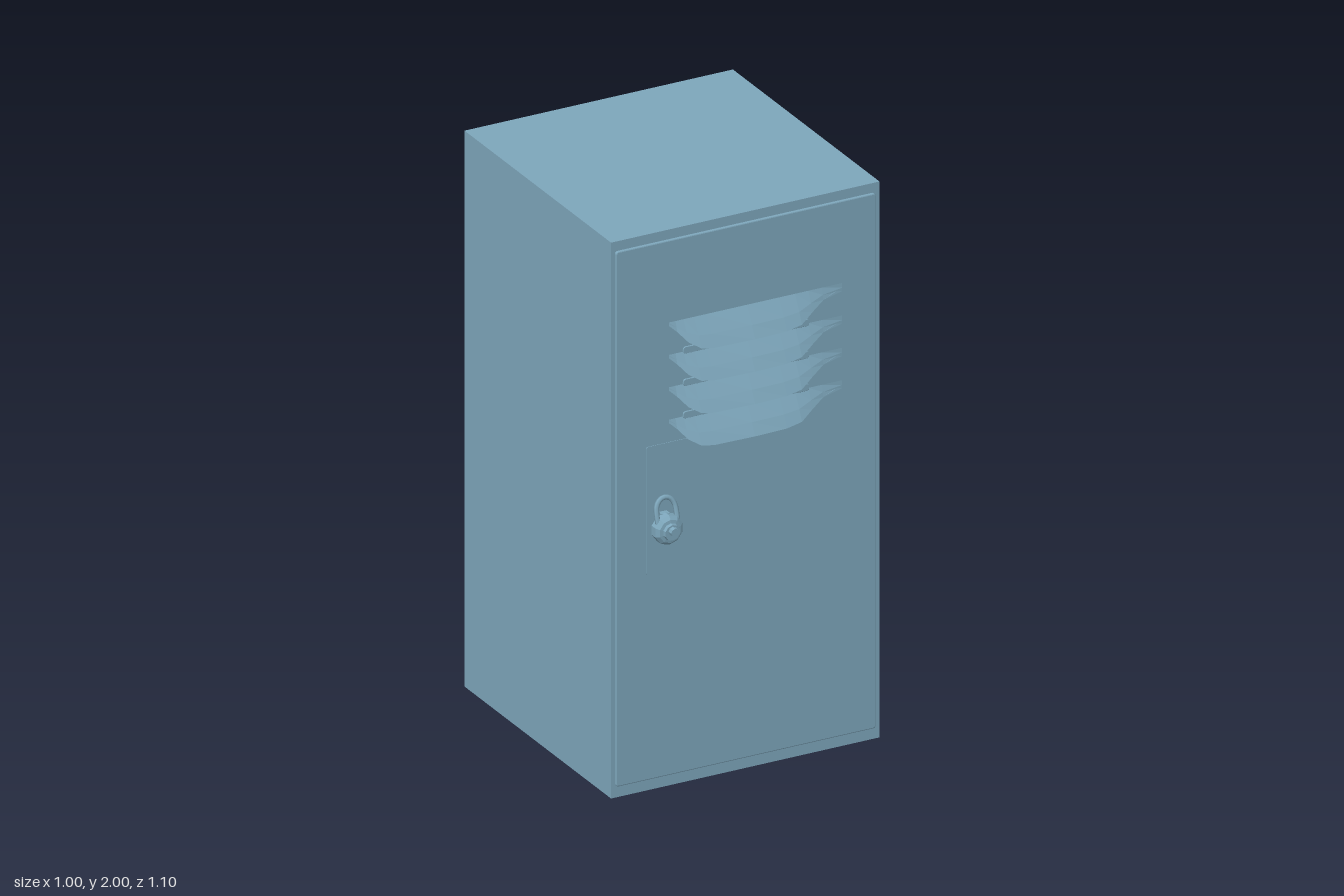
import * as THREE from 'three';

const paint = new THREE.MeshStandardMaterial({ color: 0x7da6bb });
paint.name = 'blueGreyPaint';
const sheet = paint.clone();
sheet.side = THREE.DoubleSide;
const metal = paint.clone();
metal.flatShading = true;

function add(parent, name, geometry, material, x = 0, y = 0, z = 0) {
  const mesh = new THREE.Mesh(geometry, material);
  mesh.name = name;
  mesh.position.set(x, y, z);
  parent.add(mesh);
  return mesh;
}

// Rounded rectangle centred on the origin
function roundedRect(w, h, r) {
  const s = new THREE.Shape();
  s.absarc(w / 2 - r, h / 2 - r, r, 0, Math.PI / 2);
  s.absarc(-w / 2 + r, h / 2 - r, r, Math.PI / 2, Math.PI);
  s.absarc(-w / 2 + r, -h / 2 + r, r, Math.PI, Math.PI * 1.5);
  s.absarc(w / 2 - r, -h / 2 + r, r, Math.PI * 1.5, Math.PI * 2);
  return s;
}

// Slab with a small bevel on its edges; overall size w x h x depth
function slab(w, h, r, depth, bevel) {
  const g = new THREE.ExtrudeGeometry(roundedRect(w - 2 * bevel, h - 2 * bevel, r), {
    depth: depth - bevel, bevelEnabled: true, bevelThickness: bevel,
    bevelSize: bevel, bevelSegments: 2, curveSegments: 3,
  });
  return g;
}

// Pressed hood: sections across x, each running from door to lip and back under
function louvreGeometry() {
  // x, lip height, lip projection from the door
  const stations = [
    [-0.29, 0.088, 0.002], [-0.265, 0.065, 0.012], [-0.235, 0.03, 0.034],
    [-0.195, 0.006, 0.05], [-0.15, 0, 0.055], [0, 0, 0.059],
    [0.12, 0, 0.055], [0.18, 0.008, 0.048], [0.23, 0.034, 0.028],
    [0.28, 0.06, 0.011], [0.355, 0.072, 0.002],
  ];
  const pos = [], index = [];
  const quad = (a, b, c, d) => index.push(a, b, c, a, c, d);
  const n = 4;
  stations.forEach(([x, y, z]) => {
    const top = Math.max(0.1, y + 0.005);
    pos.push(x, top, 0);
    pos.push(x, y + (top - y) * 0.42, z * 0.62);
    pos.push(x, y, z);
    pos.push(x, y + (top - y) * 0.45, 0);
  });
  for (let i = 0; i < stations.length - 1; i++) {
    for (let j = 0; j < n - 1; j++) {
      const a = i * n + j;
      quad(a, a + 1, a + n + 1, a + n);
    }
  }
  const g = new THREE.BufferGeometry();
  g.setAttribute('position', new THREE.Float32BufferAttribute(pos, 3));
  g.setIndex(index);
  // Separate outer skin and underside so the lip stays crisp
  const flat = g.toNonIndexed();
  flat.computeVertexNormals();
  return flat;
}

function createPadlock() {
  const lock = new THREE.Group();
  lock.name = 'padlock';

  // Faceted body with bevelled rims, turned about z
  const profile = [[0, 0], [0.04, 0], [0.053, 0.01], [0.053, 0.036], [0.042, 0.048],
    [0.03, 0.05], [0.028, 0.062], [0, 0.062]].map(([r, h]) => new THREE.Vector2(r, h));
  const body = add(lock, 'lockBody', new THREE.LatheGeometry(profile, 10), metal, 0, 0.948, 0.47);
  body.rotation.x = Math.PI / 2;

  const dial = add(lock, 'lockDial', new THREE.CylinderGeometry(0.014, 0.016, 0.018, 8), metal, 0, 0.955, 0.539);
  dial.rotation.x = Math.PI / 2;

  // Shackle leaning back toward the door
  const path = new THREE.CurvePath();
  const pts = [[-0.036, -0.05], [-0.036, 0.005]];
  for (let i = 1; i < 8; i++) {
    const a = Math.PI * (1 - i / 8);
    pts.push([Math.cos(a) * 0.036, 0.005 + Math.sin(a) * 0.043]);
  }
  pts.push([0.036, 0.005], [0.036, -0.05]);
  const curve = new THREE.CatmullRomCurve3(pts.map(([x, y]) => new THREE.Vector3(x, y, 0)));
  const shackle = add(lock, 'shackle', new THREE.TubeGeometry(curve, 20, 0.009, 6), paint, 0, 1.008, 0.488);
  shackle.rotation.x = -0.28;

  // Staple that holds the shackle to the door
  add(lock, 'staple', new THREE.BoxGeometry(0.03, 0.02, 0.032), paint, 0, 0.988, 0.469);

  lock.position.x = -0.315;
  return lock;
}

export function createModel() {
  const model = new THREE.Group();
  model.name = 'locker';

  add(model, 'cabinet', new THREE.BoxGeometry(1, 2, 1), paint, 0, 1, -0.05);
  add(model, 'door', slab(0.968, 1.925, 0.006, 0.01, 0.004), paint, -0.002, 1.003, 0.449);
  add(model, 'latchPlate', new THREE.ExtrudeGeometry(roundedRect(0.215, 0.46, 0.008),
    { depth: 0.002, bevelEnabled: false, curveSegments: 3 }), paint, -0.267, 1.01, 0.459);

  // Row of ventilation hoods with a narrow bead between neighbours
  const louvre = louvreGeometry();
  const bead = slab(0.47, 0.026, 0.008, 0.004, 0.002);
  for (let i = 0; i < 4; i++) {
    const y = 1.57 - i * 0.1165;
    add(model, 'louvre', louvre, sheet, 0, y, 0.459);
    if (i < 3) add(model, 'louvreBead', bead, paint, -0.003, y - 0.012, 0.459);
  }

  model.add(createPadlock());
  return model;
}
